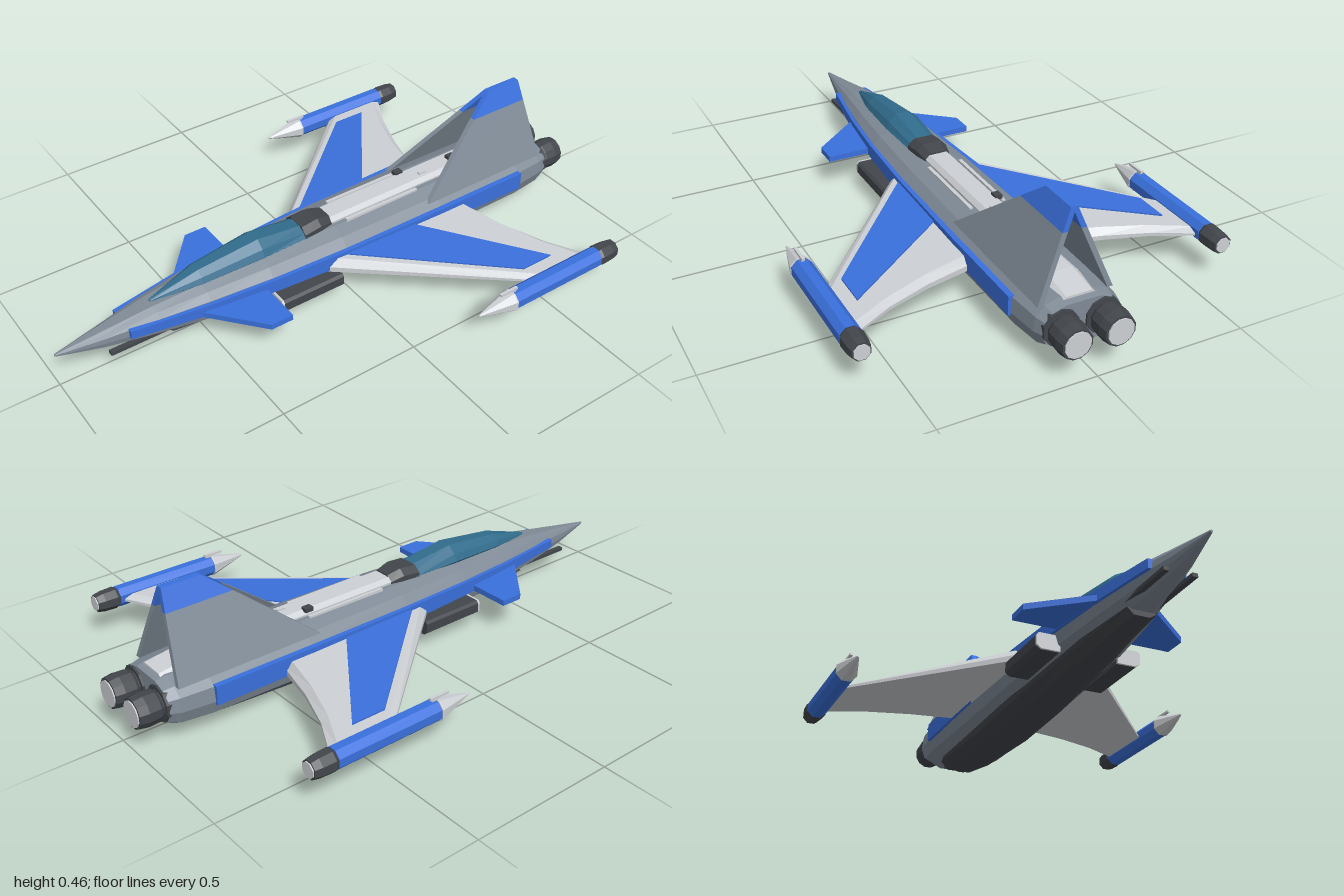
import * as THREE from 'three';

const mat = (name, color) => Object.assign(new THREE.MeshStandardMaterial({ color, flatShading: true }), { name });

// Closed solid from matching rings of [x, y, z] points, always wound outward.
function loft(rings) {
  const tris = [], n = rings[0].length, last = rings[rings.length - 1];
  for (let i = 0; i < rings.length - 1; i++) {
    for (let j = 0; j < n; j++) {
      const k = (j + 1) % n, a = rings[i], b = rings[i + 1];
      tris.push([a[j], b[j], a[k]], [a[k], b[j], b[k]]);
    }
  }
  for (let j = 1; j < n - 1; j++) {
    tris.push([rings[0][0], rings[0][j], rings[0][j + 1]], [last[0], last[j + 1], last[j]]);
  }
  const v = (p) => new THREE.Vector3(...p);
  const volume = tris.reduce((s, [a, b, c]) => s + v(a).dot(v(b).cross(v(c))), 0);
  const pos = tris.flatMap(([a, b, c]) => (volume > 0 ? [a, b, c] : [a, c, b])).flat();
  const g = new THREE.BufferGeometry();
  g.setAttribute('position', new THREE.Float32BufferAttribute(pos, 3));
  g.computeVertexNormals();
  return g;
}

// Mirror a geometry to the other side and restore its winding.
function mirrored(geo) {
  const g = geo.index ? geo.toNonIndexed() : geo.clone();
  const p = g.attributes.position;
  const pts = [];
  for (let i = 0; i < p.count; i += 3) {
    for (const k of [i, i + 2, i + 1]) pts.push(-p.getX(k), p.getY(k), p.getZ(k));
  }
  const m = new THREE.BufferGeometry();
  m.setAttribute('position', new THREE.Float32BufferAttribute(pts, 3));
  m.computeVertexNormals();
  return m;
}

const box = (w, h, d, x, y, z) => new THREE.BoxGeometry(w, h, d).translate(x, y, z);

// Faceted body of revolution along z from [radius, z] points, front to back.
function turned(profile, sides, x, y) {
  return loft(profile.map(([r, z]) => Array.from({ length: sides }, (_, i) => {
    const a = (i + 0.5) / sides * Math.PI * 2;
    return [x + r * Math.cos(a), y + r * Math.sin(a), z];
  })));
}

// Symmetric cross-section from its right-hand points, top to bottom.
const section = (z, half) => [
  ...half.map(([x, y]) => [x, y, z]),
  ...[...half].reverse().map(([x, y]) => [-x, y, z]),
];

export function createModel() {
  const root = new THREE.Group();
  root.name = 'starfighter';
  const hull = mat('hullGrey', 0x808b97);
  const light = mat('lightGrey', 0xcdd0d4);
  const blue = mat('paintBlue', 0x3a70dc);
  const dark = mat('darkGrey', 0x42464b);
  const glass = mat('canopyTeal', 0x316c8c);

  const add = (name, geo, material) => {
    const m = new THREE.Mesh(geo, material);
    m.name = name;
    root.add(m);
  };
  const pair = (name, geo, material) => {
    add(name + 'Left', geo, material);
    add(name + 'Right', mirrored(geo), material);
  };

  // Fuselage: [z, half width, top, bottom]
  const body = [
    [1, 0.004, 0.13, 0.122], [0.85, 0.034, 0.151, 0.088], [0.67, 0.068, 0.178, 0.066],
    [0.5, 0.095, 0.192, 0.052], [0.28, 0.12, 0.202, 0.04], [0, 0.138, 0.208, 0.03],
    [-0.4, 0.147, 0.211, 0.022], [-0.76, 0.147, 0.207, 0.03], [-0.87, 0.137, 0.203, 0.038],
    [-0.905, 0.128, 0.195, 0.055],
  ];
  add('fuselage', loft(body.map(([z, w, t, b]) => {
    const h = t - b;
    return section(z, [
      [w * 0.42, t], [w * 0.75, t - h * 0.1], [w * 0.96, t - h * 0.27],
      [w, b + h * 0.45], [w * 0.9, b + h * 0.2], [w * 0.45, b],
    ]);
  })), hull);

  // Dark keel: [z, half width, bottom]
  const keel = [[0.62, 0.035, 0.045], [0.3, 0.055, 0.025], [-0.1, 0.068, 0.008],
    [-0.4, 0.07, 0], [-0.75, 0.066, 0.014], [-0.84, 0.055, 0.026]];
  add('keel', loft(keel.map(([z, w, b]) =>
    section(z, [[w * 1.5, 0.062], [w * 1.35, b + 0.02], [w * 0.75, b]]))), dark);

  // Side stripes: [z, inner x, outer x, bottom, top]
  const stripe = [[0.77, 0.03, 0.062, 0.115, 0.145], [0.5, 0.07, 0.105, 0.112, 0.152],
    [0.28, 0.09, 0.129, 0.11, 0.158], [0, 0.1, 0.146, 0.107, 0.162],
    [-0.4, 0.11, 0.155, 0.102, 0.165], [-0.76, 0.11, 0.155, 0.1, 0.165]];
  pair('sideStripe', loft(stripe.map(([z, i, o, b, t]) =>
    [[i, b, z], [o, b, z], [o, t, z], [i, t, z]])), blue);

  // Canopy: [z, half width, base, top]
  const canopy = [[0.67, 0.006, 0.172, 0.184], [0.5, 0.048, 0.182, 0.234],
    [0.28, 0.066, 0.19, 0.26], [0.1, 0.058, 0.195, 0.236]];
  add('canopy', loft(canopy.map(([z, w, b, t]) =>
    section(z, [[w * 0.38, t], [w * 0.82, b + (t - b) * 0.65], [w, b + (t - b) * 0.3], [w * 0.7, b]]))), glass);
  add('canopyHinge', loft([[0.115, 0.058, 0.24], [0.05, 0.055, 0.246], [0, 0.045, 0.234]].map(([z, w, t]) =>
    section(z, [[w * 0.6, t], [w, t - 0.02], [w, 0.19]]))), dark);

  // Spine and its small fittings
  add('spine', loft([[0.02, 0.045, 0.229], [-0.5, 0.045, 0.231], [-0.78, 0.06, 0.222], [-0.885, 0.06, 0.207]]
    .map(([z, w, t]) => section(z, [[w * 0.7, t], [w, t - 0.014], [w, 0.18]]))), light);
  add('rearSensor', box(0.035, 0.014, 0.03, 0.005, 0.235, -0.55), dark);
  add('frontSensor', box(0.025, 0.014, 0.03, -0.038, 0.231, -0.34), dark);
  add('spineVent', box(0.012, 0.008, 0.03, 0.012, 0.232, -0.41), light);
  pair('spineRail', box(0.012, 0.016, 0.3, 0.058, 0.208, -0.2), light);

  // Wings: height depends only on the distance from the centreline
  const wingY = (x, rootY, tipY) => THREE.MathUtils.mapLinear(x, 0.12, 0.59, rootY, tipY);
  const ring = (pts, a, b) => pts.map(([x, z]) => [x, wingY(x, a, b), z]);
  const plan = [[0.12, 0.1], [0.59, -0.445], [0.59, -0.675], [0.45, -0.6], [0.3, -0.545], [0.12, -0.5]];
  const inset = [[0.12, 0.07], [0.59, -0.475], [0.59, -0.645], [0.45, -0.575], [0.3, -0.522], [0.12, -0.48]];
  pair('wing', loft([ring(plan, 0.102, 0.116), ring(plan, 0.122, 0.124), ring(inset, 0.148, 0.135)]), light);
  const panel = [[0.13, 0.025], [0.53, -0.43], [0.53, -0.55], [0.13, -0.258]];
  pair('wingPanel', loft([ring(panel, 0.147, 0.134), ring(panel, 0.153, 0.14)]), blue);

  // Canards
  const canard = [[0.06, 0.57], [0.1, 0.535], [0.272, 0.39], [0.272, 0.31], [0.06, 0.31]];
  pair('canard', loft([0.112, 0.132].map((y) => canard.map(([x, z]) => [x, y, z]))), blue);

  // Wingtip pods
  const px = 0.607, py = 0.125;
  pair('podBody', turned([[0.036, -0.3], [0.036, -0.68]], 8, px, py), blue);
  pair('podNose', turned([[0.003, -0.17], [0.016, -0.215], [0.039, -0.3], [0.039, -0.305]], 8, px, py), light);
  pair('podNozzle', turned([[0.033, -0.68], [0.038, -0.69], [0.036, -0.735], [0.031, -0.76]], 8, px, py), dark);
  pair('podExhaust', turned([[0.026, -0.758], [0.026, -0.764]], 8, px, py), light);
  pair('podProbe', box(0.01, 0.008, 0.07, px, 0.167, -0.29), light);
  pair('podProbeStrut', box(0.01, 0.016, 0.02, px, 0.159, -0.31), light);

  // Leaning tail fins that meet at the top, with painted tips
  const finX = (y) => THREE.MathUtils.mapLinear(y, 0.205, 0.46, 0.116, 0.011);
  const fin = (pts) => loft([0, 0.018].map((d) => pts.map(([z, y]) => [finX(y) - d, y, z])));
  pair('tailFin', fin([[-0.355, 0.185], [-0.612, 0.39], [-0.843, 0.39], [-0.867, 0.185]]), hull);
  pair('tailFinTip', fin([[-0.612, 0.39], [-0.7, 0.46], [-0.835, 0.46], [-0.843, 0.39]]), blue);

  // Intakes under the wing roots
  const intake = (z) => [[0.1, 0.05], [0.165, 0.05], [0.18, 0.062], [0.18, 0.094], [0.172, 0.103], [0.1, 0.103]]
    .map(([x, y]) => [x, y, z]);
  pair('intake', loft([intake(0.28), intake(0.045)]), dark);
  pair('intakeFace', loft([intake(0.288), intake(0.28)]), light);

  // Nose guns
  pair('noseGun', box(0.018, 0.012, 0.33, 0.046, 0.083, 0.675), dark);

  // Twin engines
  pair('engineCollar', turned([[0.06, -0.87], [0.06, -0.912]], 10, 0.07, 0.128), dark);
  pair('engineNozzle', turned([[0.045, -0.9], [0.046, -0.915], [0.053, -0.925], [0.055, -0.965], [0.05, -0.996]],
    12, 0.07, 0.128), dark);
  pair('engineExhaust', turned([[0.043, -0.994], [0.043, -1]], 12, 0.07, 0.128), light);

  return root;
}
